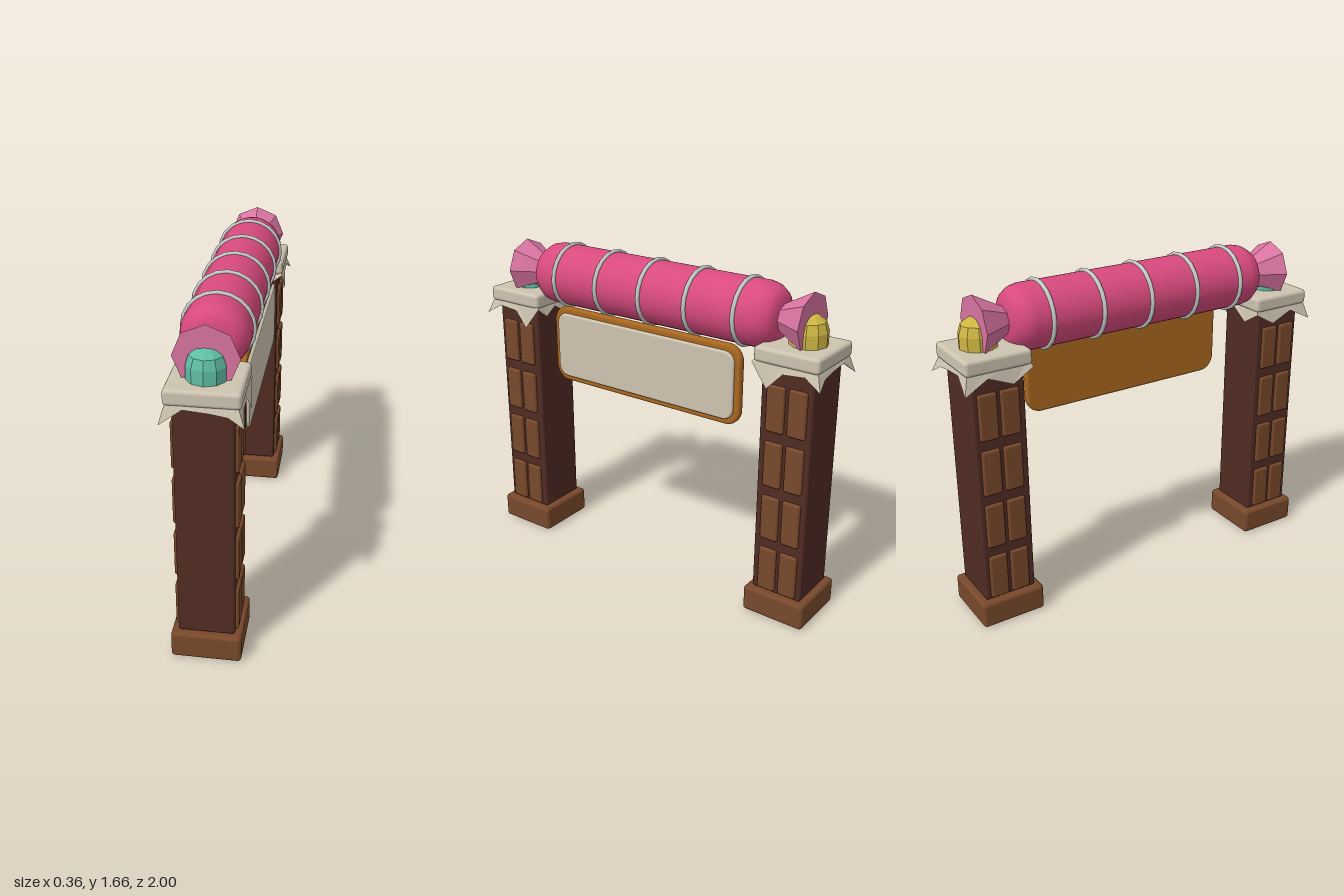
import * as THREE from 'three';
import { RoundedBoxGeometry } from 'three/addons/geometries/RoundedBoxGeometry.js';

const mat = (name, color, extra = {}) => {
  const m = new THREE.MeshStandardMaterial({ color, ...extra });
  m.name = name;
  return m;
};

export function createModel() {
  const root = new THREE.Group();
  const M = {
    dark: mat('dark chocolate', 0x512c23),
    milk: mat('milk chocolate', 0x78482b),
    cream: mat('cream icing', 0xcdc3b0),
    drip: mat('cream drip', 0xcdc3b0, { side: THREE.DoubleSide, flatShading: true }),
    pink: mat('pink wrapper', 0xd84a7e),
    twist: mat('light pink twist', 0xd873a0, { flatShading: true }),
    ring: mat('silver ring', 0xc3cbc6),
    frame: mat('caramel frame', 0xa9671f),
    teal: mat('teal gumdrop', 0x5fbda3, { flatShading: true }),
    yellow: mat('yellow gumdrop', 0xcdb443, { flatShading: true }),
  };
  const add = (parent, name, geo, material, x = 0, y = 0, z = 0) => {
    const mesh = new THREE.Mesh(geo, material);
    mesh.name = name;
    mesh.position.set(x, y, z);
    parent.add(mesh);
    return mesh;
  };
  const rbox = (w, h, d, r) => new RoundedBoxGeometry(w, h, d, 2, r);

  // Icing skirt: [x, outward, bottom y] around the square cap
  const hem = [
    [0.165, -0.17, 1.32], [0.175, -0.085, 1.21], [0.165, -0.01, 1.29], [0.165, 0.1, 1.3],
    [0.18, 0.185, 1.25], [0.11, 0.17, 1.29], [0.03, 0.165, 1.3], [-0.08, 0.165, 1.31],
    [-0.18, 0.18, 1.24], [-0.165, 0.06, 1.3], [-0.17, -0.06, 1.25], [-0.165, -0.165, 1.31],
    [-0.07, -0.17, 1.25], [0.03, -0.165, 1.31], [0.1, -0.17, 1.27],
  ];
  const skirtGeometry = (side) => {
    const pos = [], idx = [], n = hem.length;
    hem.forEach(([x, o, y], i) => {
      const k = 0.15 / Math.max(Math.abs(x), Math.abs(o));
      pos.push(x * k, 1.345, side * o * k, x, y, side * o);
      const a = 2 * i, b = 2 * ((i + 1) % n);
      if (side > 0) idx.push(a, b, a + 1, b, b + 1, a + 1);
      else idx.push(a, a + 1, b, b, a + 1, b + 1);
    });
    const g = new THREE.BufferGeometry();
    g.setAttribute('position', new THREE.Float32BufferAttribute(pos, 3));
    g.setIndex(idx);
    g.computeVertexNormals();
    return g;
  };

  // Gumdrop dome
  const domeProfile = [[0.09, 0], [0.09, 0.07], [0.075, 0.115], [0.042, 0.14], [0, 0.147]]
    .map(([r, y]) => new THREE.Vector2(r, y));

  // Pillars
  for (const side of [1, -1]) {
    const pillar = new THREE.Group();
    pillar.name = side > 0 ? 'frontPillar' : 'backPillar';
    pillar.position.z = side * 0.815;
    root.add(pillar);
    add(pillar, 'base', rbox(0.33, 0.135, 0.33, 0.018), M.milk, 0, 0.0675, 0);
    add(pillar, 'shaft', rbox(0.265, 1.22, 0.265, 0.012), M.dark, 0, 0.745, 0);
    for (const sx of [1, -1])
      for (let row = 0; row < 4; row++)
        for (const col of [-0.052, 0.06])
          add(pillar, 'chocolateTile', rbox(0.04, 0.23, 0.094, 0.012), M.milk,
            sx * 0.128, 0.262 + row * 0.281, side * col);
    add(pillar, 'icingSkirt', skirtGeometry(side), M.drip);
    add(pillar, 'icingCap', rbox(0.33, 0.075, 0.33, 0.018), M.cream, 0, 1.358, 0);
    add(pillar, 'gumdrop', new THREE.LatheGeometry(domeProfile, 10),
      side > 0 ? M.teal : M.yellow, 0, 1.39, side * 0.024);
  }

  // Wrapped candy roll with twisted ends and rings
  const roll = new THREE.Group();
  roll.name = 'candyRoll';
  roll.position.y = 1.493;
  root.add(roll);
  const half = [[0.157, 0.61], [0.148, 0.65], [0.125, 0.685], [0.09, 0.708], [0, 0.716]];
  const profile = [
    ...half.slice().reverse().map(([r, y]) => new THREE.Vector2(r, -y)),
    ...half.map(([r, y]) => new THREE.Vector2(r, y)),
  ];
  add(roll, 'wrapper', new THREE.LatheGeometry(profile, 32), M.pink).rotation.x = Math.PI / 2;
  for (const side of [1, -1]) {
    const twist = add(roll, 'twistedEnd', new THREE.CylinderGeometry(0.145, 0.055, 0.165, 8),
      M.twist, 0, 0, side * 0.772);
    twist.rotation.x = side * Math.PI / 2;
  }
  for (let i = -2; i <= 2; i++)
    add(roll, 'ring', new THREE.TorusGeometry(0.16, 0.011, 8, 20), M.ring, 0, 0, i * 0.266);

  // Hanging sign facing +x
  const plate = (w, h, r, depth, bevel) => {
    const s = new THREE.Shape(), x = w / 2 - bevel, y = h / 2 - bevel, q = Math.PI / 2;
    s.absarc(x - r, y - r, r, 0, q);
    s.absarc(r - x, y - r, r, q, 2 * q);
    s.absarc(r - x, r - y, r, 2 * q, 3 * q);
    s.absarc(x - r, r - y, r, 3 * q, 4 * q);
    const g = new THREE.ExtrudeGeometry(s, {
      depth, bevelSize: bevel, bevelThickness: bevel, bevelSegments: 3, curveSegments: 6,
    });
    return g.rotateY(Math.PI / 2);
  };
  const sign = new THREE.Group();
  sign.name = 'sign';
  sign.position.set(0.085, 1.155, 0);
  root.add(sign);
  add(sign, 'signFrame', plate(1.13, 0.4, 0.065, 0.015, 0.013), M.frame, 0.013);
  add(sign, 'signPanel', plate(1.07, 0.34, 0.045, 0.015, 0.01), M.cream, 0.03);

  return root;
}
